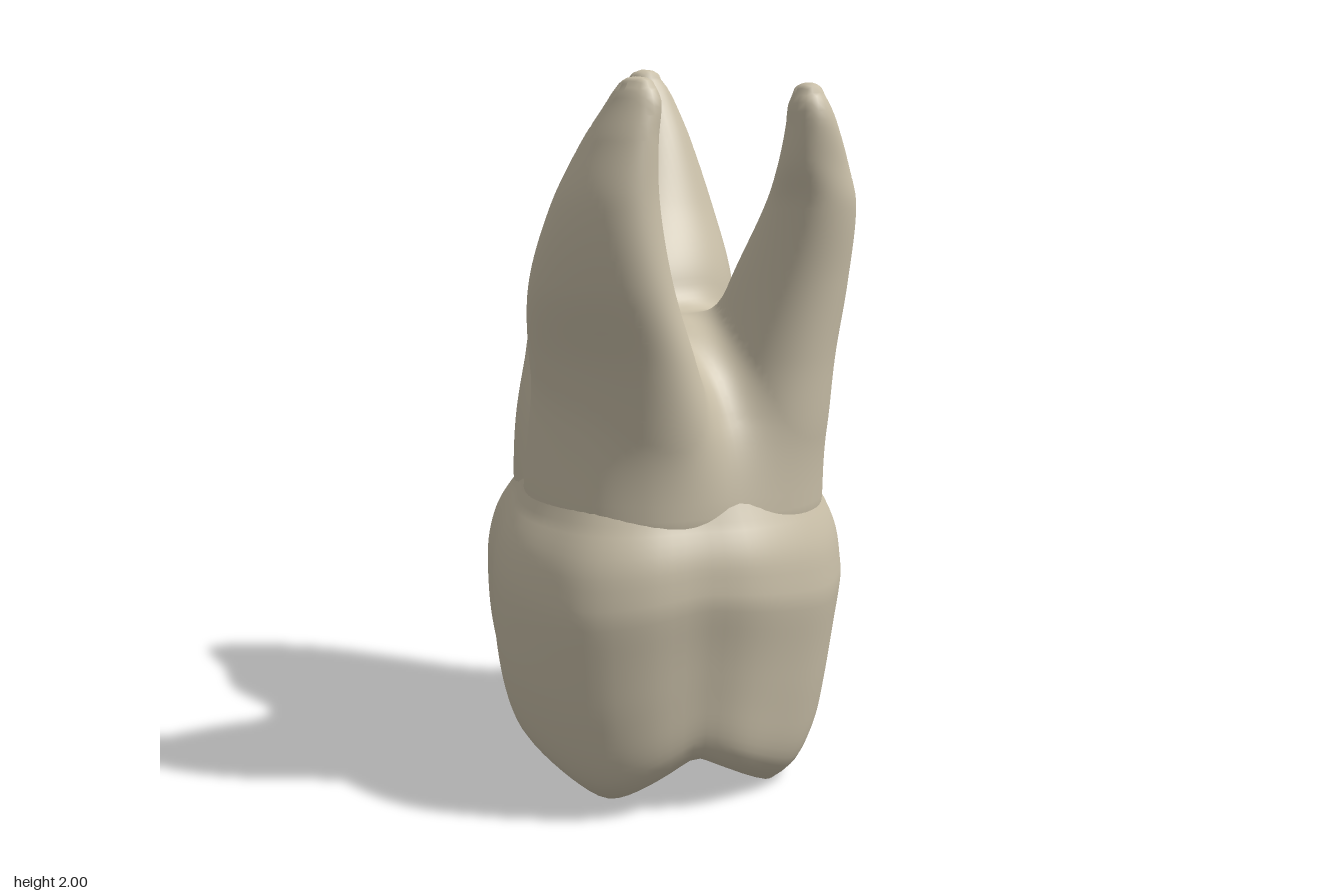
import * as THREE from 'three';

const ivory = new THREE.MeshStandardMaterial({ color: 0xc9bfa8 });
ivory.name = 'ivory';

// Crown outline: radius every 15 degrees, from +x towards +z
const OUTLINE = [.54, .545, .54, .58, .6, .575, .545, .505, .48, .49, .545, .575,
  .58, .555, .565, .585, .6, .575, .53, .497, .5, .52, .53, .54];
// Rim of the chewing surface, as a share of the outline
const RIM = [.72, .78, .78, .74, .7, .76, .84, .88, .88, .86, .81, .74,
  .7, .74, .78, .8, .8, .8, .82, .84, .84, .78, .7, .68];

// Smooth value of a closed table at an angle
function around(table, angle) {
  const n = table.length;
  const u = ((angle / (2 * Math.PI)) * n + 2 * n) % n;
  const i = Math.floor(u), t = u - i;
  const [a, b, c, d] = [-1, 0, 1, 2].map(k => table[(i + k + n) % n]);
  return b + t / 2 * (c - a + t * (2 * a - 5 * b + 4 * c - d + t * (3 * (b - c) + d - a)));
}

// Smooth interpolation of rows [y, ...values] by y
function sample(rows, y) {
  const last = rows.length - 1;
  if (y <= rows[0][0]) return rows[0].slice(1);
  if (y >= rows[last][0]) return rows[last].slice(1);
  let i = 0;
  while (rows[i + 1][0] < y) i++;
  const p = rows[i], q = rows[i + 1], h = q[0] - p[0], t = (y - p[0]) / h;
  const a = rows[Math.max(i - 1, 0)], d = rows[Math.min(i + 2, last)];
  return p.slice(1).map((v, k) => {
    const m0 = (q[k + 1] - a[k + 1]) / (q[0] - a[0]) * h;
    const m1 = (d[k + 1] - v) / (d[0] - p[0]) * h;
    const s = t * t, c = s * t;
    return (2 * c - 3 * s + 1) * v + (c - 2 * s + t) * m0 + (3 * s - 2 * c) * q[k + 1] + (c - s) * m1;
  });
}

function smoothMin(a, b, k) {
  const h = Math.max(k - Math.abs(a - b), 0) / k;
  return Math.min(a, b) - h * h * k / 4;
}

// Chewing surface: four rounded cone cusps [x, z, tip y, slope] below a shallow basin
const CUSPS = [[.2, .35, .03, .68], [.33, -.12, 0, .57], [-.27, -.4, .105, .38], [-.37, .02, .09, .48]];
function chewingHeight(x, z) {
  let y = .225 + .03 * Math.exp(-(x * x + z * z) / .03);
  for (const [cx, cz, tip, slope] of CUSPS) {
    y = smoothMin(y, tip + slope * (Math.hypot(x - cx, z - cz, .05) - .05), .03);
  }
  return y;
}

// Crown wall: [fraction of the way down, scale of the outline]
const WALL = [[0, .84], [.07, .9], [.15, .95], [.28, .99], [.42, 1], [.6, .985],
  [.74, .945], [.86, .885], [.94, .81], [1, .7]];

function crownGeometry() {
  const segments = 96, wallRings = 30, capRings = 18;
  const pos = [], index = [];
  for (let r = -1; r <= wallRings + capRings; r++) {
    for (let j = 0; j < segments; j++) {
      const angle = j / segments * 2 * Math.PI, cos = Math.cos(angle), sin = Math.sin(angle);
      const R = around(OUTLINE, angle), rim = around(RIM, angle), right = Math.max(0, cos);
      let scale, y;
      if (r <= wallRings) {
        const t = Math.max(r, 0) / wallRings;
        scale = sample(WALL, t)[0];
        if (t > .42) scale = 1 - (1 - scale) / .3 * (1 - rim);
        scale += right * (.05 * Math.max(0, 1 - t * 4) - .07 * Math.sin(Math.PI * Math.max(0, t * 1.4 - .4)));
        y = .8 - (.8 - chewingHeight(rim * R * cos, rim * R * sin)) * t;
        if (r < 0) { scale -= .05; y = .86; }
      } else {
        scale = rim * (1 - (r - wallRings) / capRings);
        y = chewingHeight(scale * R * cos, scale * R * sin);
      }
      pos.push(scale * R * cos, y, scale * R * sin);
    }
  }
  for (let r = 0; r < wallRings + capRings + 1; r++) {
    for (let j = 0; j < segments; j++) {
      const a = r * segments + j, b = r * segments + (j + 1) % segments;
      index.push(a, b, a + segments, b, b + segments, a + segments);
    }
  }
  const g = new THREE.BufferGeometry();
  g.setAttribute('position', new THREE.Float32BufferAttribute(pos, 3));
  g.setIndex(index);
  g.computeVertexNormals();
  return g;
}

// Roots as stacked skewed ellipses [y, centre x, centre z, radius x, radius z] with a round tip
const ROOTS = [
  { skew: .15, tip: .03, rows: [[.75, -.2, -.08, .265, .325], [1, -.22, -.08, .25, .33],
    [1.2, -.235, -.1, .25, .315], [1.4, -.255, -.13, .235, .28], [1.6, -.295, -.185, .185, .205],
    [1.8, -.315, -.215, .125, .125], [1.9, -.32, -.22, .085, .085], [1.945, -.32, -.22, .063, .063],
    [1.97, -.32, -.22, .045, .045]] },
  { skew: 0, tip: .02, rows: [[.75, .12, .21, .27, .2], [1, .145, .245, .28, .195],
    [1.2, .155, .305, .28, .165], [1.4, .205, .38, .235, .14], [1.6, .27, .415, .165, .11],
    [1.75, .315, .405, .118, .075], [1.84, .343, .385, .085, .055], [1.87, .35, .383, .067, .044],
    [1.885, .353, .383, .053, .034]] },
  { skew: -.22, tip: .025, rows: [[.75, .23, -.1, .22, .22], [1, .25, -.13, .235, .2],
    [1.2, .28, -.15, .22, .175], [1.4, .34, -.165, .185, .16], [1.6, .43, -.15, .13, .133],
    [1.7, .475, -.11, .092, .11], [1.8, .502, -.073, .072, .073], [1.85, .505, -.058, .06, .056],
    [1.88, .505, -.054, .043, .039]] },
];
// Shared trunk: [y, scale of the outline]
const TRUNK = [[.7, .81], [.85, .805], [1, .76], [1.12, .68], [1.22, .57], [1.32, .45]];

// Signed field of trunk and roots blended together (negative inside)
function rootField(x, y, z) {
  const angle = Math.atan2(z, x);
  const neck = 1 + .06 * Math.max(0, Math.cos(angle)) * Math.max(0, 1 - Math.abs(y - .8) * 4);
  let d = Math.hypot(x, z) - around(OUTLINE, angle) * sample(TRUNK, y)[0] * neck;
  d = -smoothMin(-d, 1.3 - y, .16);
  for (const { skew, tip, rows } of ROOTS) {
    const [cx, cz, rx, rz] = sample(rows, y);
    const u = (x - cx) / rx, v = (z - cz) / rz;
    const w = Math.max(0, y - rows[rows.length - 1][0]) / tip;
    const e = (Math.sqrt(u * u + v * v + 2 * skew * u * v + w * w) - 1) * Math.min(rx, rz);
    d = smoothMin(d, e, .08);
  }
  return d;
}

// Turns a field into a smooth mesh: one vertex per crossed cell, pulled onto the surface
function surfaceFromField(field, min, max, cell) {
  const n = min.map((v, k) => Math.ceil((max[k] - v) / cell) + 1);
  const step = [1, n[0], n[0] * n[1]];
  const value = new Float32Array(n[0] * n[1] * n[2]);
  const each = (fn) => {
    for (let k = 0; k < n[2]; k++) for (let j = 0; j < n[1]; j++) for (let i = 0; i < n[0]; i++) {
      fn([i, j, k], i + j * step[1] + k * step[2]);
    }
  };
  each((c, id) => { value[id] = field(...c.map((v, k) => min[k] + v * cell)); });

  const pos = [], normal = [], index = [], vertex = new Map(), e = .006;
  each((c, id) => {
    if (c.some((v, k) => v >= n[k] - 1)) return;
    let inside = 0;
    for (let b = 0; b < 8; b++) {
      if (value[id + (b & 1) + (b >> 1 & 1) * step[1] + (b >> 2) * step[2]] < 0) inside++;
    }
    if (inside === 0 || inside === 8) return;
    const centre = new THREE.Vector3(...c.map((v, k) => min[k] + (v + .5) * cell));
    const p = centre.clone(), g = new THREE.Vector3();
    for (let s = 0; s < 5; s++) {
      const { x, y, z } = p;
      g.set(field(x + e, y, z) - field(x - e, y, z), field(x, y + e, z) - field(x, y - e, z),
        field(x, y, z + e) - field(x, y, z - e)).divideScalar(2 * e);
      p.addScaledVector(g, -field(x, y, z) / Math.max(g.lengthSq(), .2));
      p.sub(centre).clampLength(0, cell).add(centre);
    }
    vertex.set(id, pos.length / 3);
    pos.push(p.x, p.y, p.z);
    g.normalize();
    normal.push(g.x, g.y, g.z);
  });
  each((c, id) => {
    for (let a = 0; a < 3; a++) {
      if (c[a] >= n[a] - 1 || (value[id] < 0) === (value[id + step[a]] < 0)) continue;
      const b = step[(a + 1) % 3], d = step[(a + 2) % 3];
      const q = [id - b - d, id - d, id, id - b].map(v => vertex.get(v));
      if (q.includes(undefined)) continue;
      if (value[id] >= 0) q.reverse();
      index.push(q[0], q[1], q[2], q[0], q[2], q[3]);
    }
  });
  const geometry = new THREE.BufferGeometry();
  geometry.setAttribute('position', new THREE.Float32BufferAttribute(pos, 3));
  geometry.setAttribute('normal', new THREE.Float32BufferAttribute(normal, 3));
  geometry.setIndex(index);
  return geometry;
}

export function createModel() {
  const tooth = new THREE.Group();
  tooth.name = 'tooth';
  const add = (name, geometry) => {
    const mesh = new THREE.Mesh(geometry, ivory);
    mesh.name = name;
    tooth.add(mesh);
  };
  add('crown', crownGeometry());
  add('roots', surfaceFromField(rootField, [-.65, .72, -.6], [.68, 2.06, .64], .02));
  return tooth;
}
